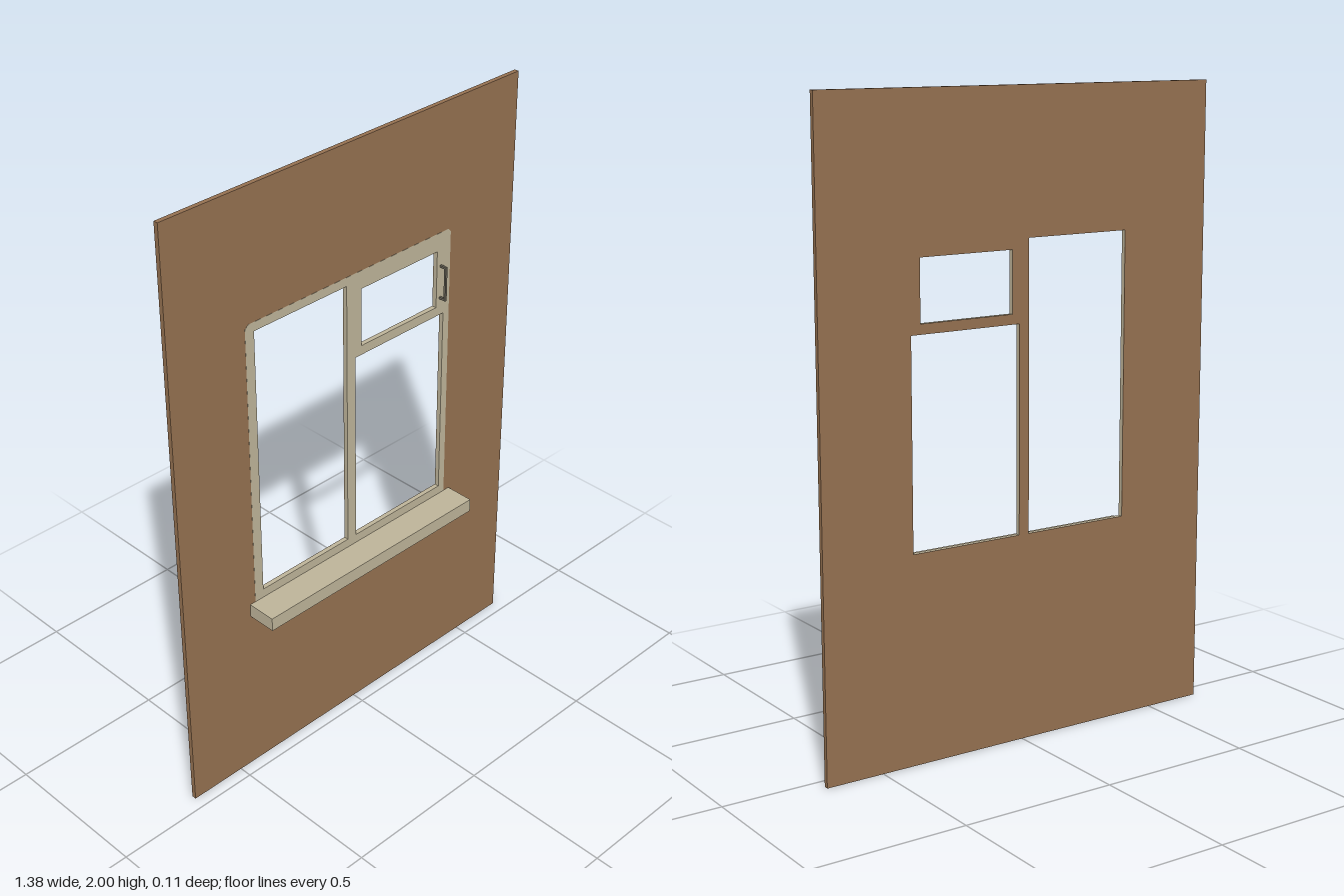
import * as THREE from 'three';

const BACK = -0.056, FRONT = -0.041, SKIN = 0.001;

const mat = (name, color) => {
  const m = new THREE.MeshStandardMaterial({ color });
  m.name = name;
  return m;
};
const pts = (list) => list.map(([x, y]) => new THREE.Vector2(x, y));
const rect = (x0, x1, y0, y1) => pts([[x0, y0], [x1, y0], [x1, y1], [x0, y1]]);

// Flat slab from an outline with openings, between two depths
function slab(name, outline, holes, z0, z1, material) {
  const shape = new THREE.Shape(outline);
  shape.holes = holes.map((h) => new THREE.Path(h));
  const geo = new THREE.ExtrudeGeometry(shape, { depth: z1 - z0, bevelEnabled: false });
  geo.translate(0, 0, z0);
  const mesh = new THREE.Mesh(geo, material);
  mesh.name = name;
  return mesh;
}

// Box given by its limits
function box(name, x0, x1, y0, y1, z0, z1, material) {
  const mesh = new THREE.Mesh(new THREE.BoxGeometry(x1 - x0, y1 - y0, z1 - z0), material);
  mesh.position.set((x0 + x1) / 2, (y0 + y1) / 2, (z0 + z1) / 2);
  mesh.name = name;
  return mesh;
}

export function createModel() {
  const model = new THREE.Group();
  model.name = 'windowWall';
  const brown = mat('wallBrown', 0x947050);
  const cream = mat('frameCream', 0xbdb398);
  const grey = mat('handleGrey', 0x6c675a);

  const wall = rect(-0.69, 0.69, 0, 2);
  const panes = [
    rect(-0.38, -0.023, 0.655, 1.555), // tall pane
    rect(0.037, 0.356, 1.333, 1.524), // small vent
    rect(0.012, 0.388, 0.655, 1.302), // lower pane
  ];
  const frame = pts([[-0.413, 0.6], [0.413, 0.6], [0.413, 1.572], [0.402, 1.584], [-0.4, 1.584], [-0.413, 1.572]]);

  // Wall around the frame, with a thin skin behind it
  model.add(slab('wall', wall, [frame], BACK + SKIN, FRONT, brown));
  model.add(slab('wallBack', wall, panes, BACK, BACK + SKIN, brown));

  // Window frame set flush in the wall
  model.add(slab('windowFrame', frame, panes, BACK + SKIN, FRONT + 0.0005, cream));

  // Sill
  model.add(box('sill', -0.434, 0.437, 0.58, 0.625, FRONT, 0.056, cream));

  // Vent handle: a grip on two short stems
  const handle = new THREE.Group();
  handle.name = 'handle';
  const [x0, x1, t] = [0.369, 0.376, 0.007];
  handle.add(box('grip', x0, x1, 1.358, 1.474, -0.023, -0.016, grey));
  for (const y of [1.358, 1.474 - t]) handle.add(box('stem', x0, x1, y, y + t, FRONT, -0.023, grey));
  model.add(handle);

  return model;
}
